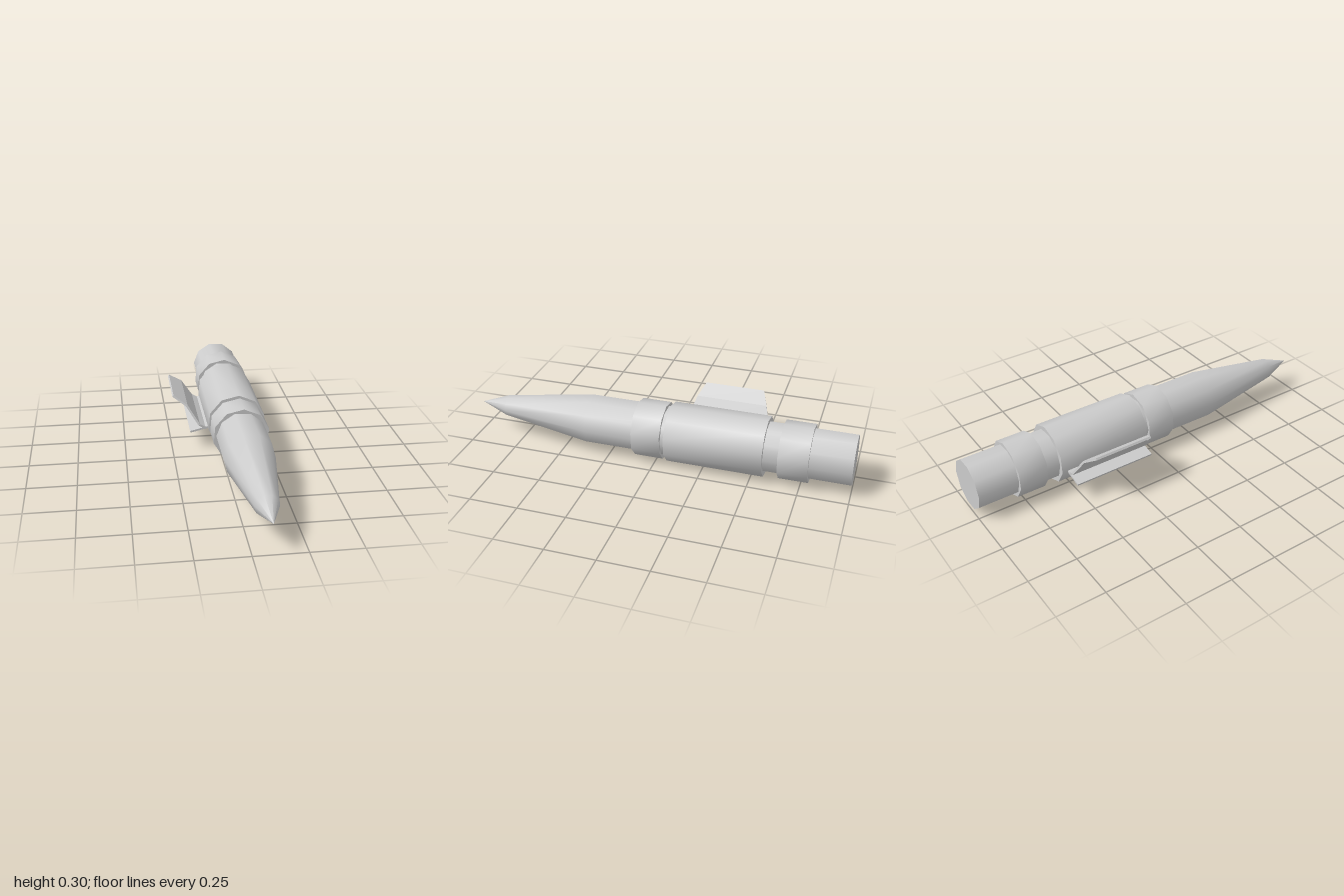
import * as THREE from 'three';
import { toCreasedNormals } from 'three/addons/utils/BufferGeometryUtils.js';

const SIDES = 10;
const AXIS = { x: 0.09, y: 0.154 };
const material = new THREE.MeshStandardMaterial({ color: 0xcccccc });

// Ten-sided turned part along z; profile is [radius, z] from back to front
function turned(name, profile, turnDegrees) {
  const points = profile.map(([r, z]) => new THREE.Vector2(r, z));
  const start = THREE.MathUtils.degToRad(turnDegrees + 90);
  const geometry = new THREE.LatheGeometry(points, SIDES, start).rotateX(Math.PI / 2);
  const mesh = new THREE.Mesh(toCreasedNormals(geometry, 0.75), material);
  mesh.name = name;
  mesh.position.set(AXIS.x, AXIS.y, 0);
  return mesh;
}

function band(name, radius, back, front) {
  return turned(name, [[0, back], [radius, back], [radius, front], [0, front]], 13);
}

// Bent plate: path points are [x, y, half length along z], running outward in -x
function plate(name, path, thickness, centreZ) {
  const p = path.map(([x, y]) => new THREE.Vector2(x, y));
  const upper = [], lower = [];
  p.forEach((point, i) => {
    const normalOf = (a, b) => new THREE.Vector2(a.y - b.y, b.x - a.x).normalize();
    const before = normalOf(p[Math.max(i - 1, 0)], p[Math.max(i, 1)]);
    const after = normalOf(p[Math.min(i, p.length - 2)], p[Math.min(i + 1, p.length - 1)]);
    const mitre = before.clone().add(after).normalize();
    mitre.multiplyScalar(thickness / 2 / mitre.dot(before));
    upper.push(point.clone().add(mitre));
    lower.unshift(point.clone().sub(mitre));
  });
  const shape = new THREE.Shape([...upper, ...lower]);
  const geometry = new THREE.ExtrudeGeometry(shape, { depth: 1, bevelEnabled: false });

  // Taper the length according to the nearest path point
  const pos = geometry.attributes.position;
  for (let i = 0; i < pos.count; i++) {
    const distance = (q) => Math.hypot(q[0] - pos.getX(i), q[1] - pos.getY(i));
    const nearest = path.reduce((a, b) => (distance(b) < distance(a) ? b : a));
    pos.setZ(i, centreZ + (pos.getZ(i) > 0.5 ? 1 : -1) * nearest[2]);
  }
  geometry.computeVertexNormals();
  const mesh = new THREE.Mesh(geometry, material);
  mesh.name = name;
  return mesh;
}

export function createModel() {
  const model = new THREE.Group();
  model.name = 'penWithClip';

  // Barrel with tapering nose and pointed tip
  model.add(turned('barrel', [
    [0, -1], [0.13, -1], [0.13, 0.365], [0.057, 0.845], [0, 1],
  ], -3));

  // Raised sleeves around the barrel
  model.add(band('rearBand', 0.147, -0.79, -0.64));
  model.add(band('middleSleeve', 0.153, -0.565, -0.065));
  model.add(band('frontBand', 0.147, -0.043, 0.107));

  // Side bracket: bent upper flap and flat lower plate
  const bracket = new THREE.Group();
  bracket.name = 'sideBracket';
  bracket.add(plate('upperFlap', [
    [-0.066, 0.113, 0.217], [-0.105, 0.136, 0.217],
    [-0.167, 0.236, 0.185], [-0.237, 0.284, 0.155],
  ], 0.011, -0.318));
  bracket.add(plate('lowerPlate', [
    [-0.05, 0.123, 0.217], [-0.153, 0.098, 0.217],
  ], 0.01, -0.318));
  model.add(bracket);

  return model;
}
